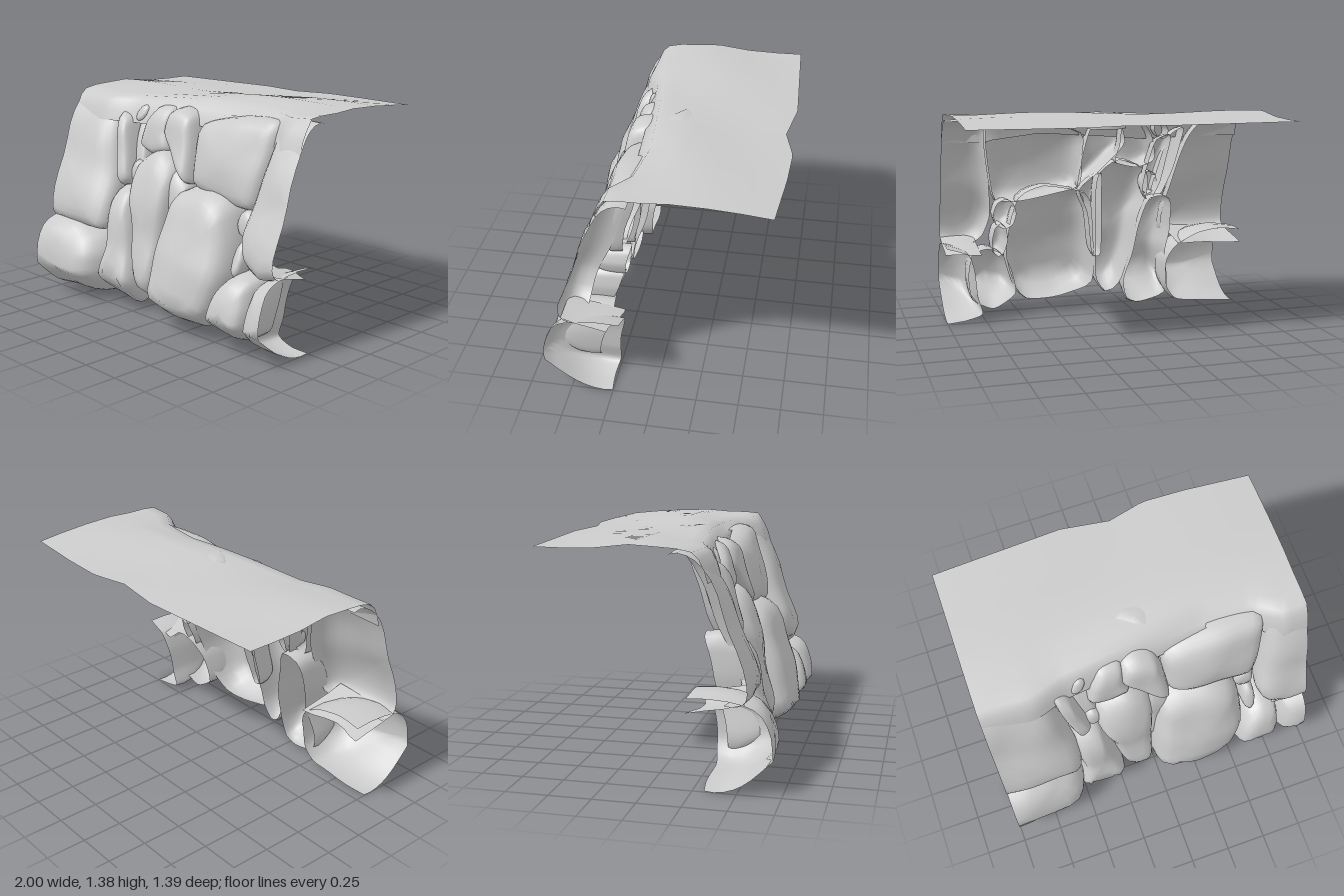
import * as THREE from 'three';
import { mergeVertices } from 'three/addons/utils/BufferGeometryUtils.js';

const stone = new THREE.MeshStandardMaterial({ color: 0xcccccc, side: THREE.DoubleSide });

// Smooth mesh from rows of equally many points.
// wrap: each row closes on itself; pole: the first row is a single point
function skin(name, rows, wrap, pole) {
  const n = rows[0].length, index = [];
  for (let r = 0; r + 1 < rows.length; r++) {
    for (let i = 0; i < (wrap ? n : n - 1); i++) {
      const j = (i + 1) % n;
      const a = r * n + i, b = r * n + j, c = (r + 1) * n + i, d = (r + 1) * n + j;
      if (r > 0 || !pole) index.push(a, d, b);
      index.push(a, c, d);
    }
  }
  let g = new THREE.BufferGeometry();
  g.setAttribute('position', new THREE.Float32BufferAttribute(rows.flat(2), 3));
  g.setIndex(index);
  g = mergeVertices(g, 1e-5);
  g.computeVertexNormals();
  const mesh = new THREE.Mesh(g, stone);
  mesh.name = name;
  return mesh;
}

// Shell steps from the middle of a stone to its open back: [outline scale, share of depth]
const steps = [[0, 0], [0.25, 0], [0.48, 0.015], [0.68, 0.05], [0.82, 0.13],
  [0.91, 0.26], [0.97, 0.45], [1, 0.72], [0.98, 1]];

// Stone shell open at the back. The front leans from zBottom to zTop and is cut under near the foot.
// With edgeX set, the outline starts and ends on that side of the block and stays open there.
function rock(name, outline, zBottom, zTop, depth, edgeX) {
  const open = edgeX !== undefined;
  const pts = outline.map(([x, y]) => new THREE.Vector3(x, y, 0));
  const area = pts.reduce((s, p, i) => {
    const q = pts[(i + 1) % pts.length];
    return s + p.x * q.y - q.x * p.y;
  }, 0);
  if (area < 0) pts.reverse();
  const curve = new THREE.CatmullRomCurve3(pts, !open, 'catmullrom', 0.3);
  const edge = curve.getSpacedPoints(40);
  if (!open) edge.pop();
  const ys = pts.map((p) => p.y), xs = pts.map((p) => p.x);
  const y0 = Math.min(...ys), y1 = Math.max(...ys);
  const cy = (y0 + y1) / 2;
  const cx = open ? edgeX : (Math.min(...xs) + Math.max(...xs)) / 2;
  const rows = steps.map(([s, d]) => edge.map((p) => {
    const x = cx + (p.x - cx) * s, y = cy + (p.y - cy) * s;
    const rough = 0.014 * Math.sin(9 * x + 5 * y + cx * 20) * Math.cos(11 * y - 6 * x);
    const front = zBottom + (zTop - zBottom) * (y - y0) / (y1 - y0) + rough;
    const undercut = 1.1 * Math.max(0, 0.21 - y) * (1 - d);
    return [x, y, front - d * depth - undercut];
  }));
  return skin(name, rows, !open, true);
}

// Thin ragged shelf running back from the foot of a wall
function ledge(name, xa, xb) {
  const rows = [[0.54, 0.525], [0.44, 0.495], [0.33, 0.475], [0.24, 0.455]].map(([z, y], r) =>
    Array.from({ length: 7 }, (_, i) => {
      const x = xa + (xb - xa) * i / 6;
      return [x, y + 0.01 * Math.sin(9 * x), z + 0.012 * r * Math.sin(14 * x)];
    }));
  return skin(name, rows, false, false);
}

// Linear interpolation through [x, value] pairs
function lerpTable(table, x) {
  for (let i = 1; i < table.length; i++) {
    const [xa, a] = table[i - 1], [xb, b] = table[i];
    if (x <= xb) return a + (b - a) * (x - xa) / (xb - xa);
  }
  return table[table.length - 1][1];
}

// Ground sheet on top of the cliff, bending down over the front edge
function topSheet() {
  const profile = [[0.345, 1.17], [0.325, 1.24], [0.295, 1.3], [0.255, 1.345], [0.17, 1.358],
    [0.05, 1.363], [-0.1, 1.374], [-0.3, 1.36], [-0.5, 1.348], [-0.67, 1.34]];
  const recess = [[-1, -0.01], [-0.68, 0], [-0.5, -0.06], [0, -0.11], [0.4, -0.14], [0.7, -0.1], [0.85, 0], [1, 0]];
  const backEdge = [[-1, 0.02], [-0.2, -0.015], [0.1, 0.03], [0.33, -0.025], [0.6, -0.015], [1, 0.02]];
  const rows = profile.map(([z, y], r) => {
    const row = [];
    for (let i = 0; i <= 40; i++) {
      const x = -1 + i / 20;
      const front = THREE.MathUtils.clamp((z + 0.1) / 0.3, 0, 1);
      const back = THREE.MathUtils.clamp((-z - 0.3) / 0.37, 0, 1);
      const wave = r > 2 ? (1 - back) * (0.009 * Math.sin(5 * x + 6 * z) + 0.012 * x) : 0;
      const lift = r < 2 ? Math.max(0, -0.08 - lerpTable(recess, x)) : 0;
      row.push([x, y + wave + lift, z + front * lerpTable(recess, x) + back * lerpTable(backEdge, x)]);
    }
    return row;
  });
  return skin('topGround', rows, false, false);
}

// Simple oval outline for pebbles
function oval(cx, cy, rx, ry, tilt = 0) {
  return Array.from({ length: 8 }, (_, i) => {
    const a = i * Math.PI / 4;
    return [cx + rx * Math.cos(a) + tilt * Math.sin(a), cy + ry * Math.sin(a)];
  });
}

export function createModel() {
  const cliff = new THREE.Group();
  cliff.name = 'rockCliff';
  cliff.add(topSheet());

  // Outer walls and corner stones, cut open at the sides
  cliff.add(rock('leftWall', [[1, 0.5], [0.86, 0.47], [0.74, 0.54], [0.69, 0.68], [0.71, 0.9], [0.74, 1.1],
    [0.76, 1.28], [0.88, 1.33], [1, 1.33]], 0.61, 0.295, 0.17, 1));
  cliff.add(rock('rightWall', [[-1, 0.5], [-0.75, 0.49], [-0.5, 0.5], [-0.49, 0.72], [-0.53, 0.95],
    [-0.6, 1.2], [-0.7, 1.32], [-1, 1.33]], 0.62, 0.295, 0.18, -1));
  cliff.add(ledge('leftLedge', 0.78, 1), ledge('rightLedge', -1, -0.55));
  cliff.add(rock('leftCornerStone', [[1, 0.01], [0.88, 0.02], [0.77, 0.06], [0.8, 0.18], [0.82, 0.35],
    [0.86, 0.47], [1, 0.52]], 0.68, 0.62, 0.42, 1));
  cliff.add(rock('rightCornerStone', [[-1, 0.01], [-0.75, 0.03], [-0.57, 0.05], [-0.49, 0.15], [-0.48, 0.34],
    [-0.54, 0.45], [-0.68, 0.53], [-0.85, 0.555], [-1, 0.54]], 0.73, 0.64, 0.42, -1));

  // Large lower stones
  cliff.add(rock('rightPillar', [[-0.5, 0.76], [-0.43, 0.8], [-0.34, 0.78], [-0.28, 0.58], [-0.25, 0.4],
    [-0.21, 0.2], [-0.24, 0.06], [-0.33, 0.03], [-0.5, 0.08], [-0.53, 0.18], [-0.49, 0.4], [-0.51, 0.55]],
    0.64, 0.46, 0.26));
  cliff.add(rock('middlePillar', [[-0.33, 0.96], [-0.22, 1.03], [-0.12, 1.05], [0, 0.97], [0.02, 0.85],
    [0, 0.5], [-0.02, 0.22], [-0.1, 0.11], [-0.19, 0.19], [-0.25, 0.4], [-0.29, 0.65], [-0.34, 0.8]],
    0.6, 0.42, 0.22));
  cliff.add(rock('pillarWedge', [[-0.02, 0.96], [0.06, 0.93], [0.13, 0.85], [0.07, 0.7], [0.02, 0.4],
    [-0.04, 0.4], [-0.03, 0.7]], 0.47, 0.37, 0.16));
  cliff.add(rock('centreBoulder', [[0.05, 0.79], [0.12, 0.85], [0.37, 0.9], [0.53, 0.83], [0.59, 0.64],
    [0.6, 0.42], [0.53, 0.19], [0.44, 0.09], [0.22, 0.09], [0, 0.17], [-0.01, 0.35], [0.01, 0.55]],
    0.72, 0.48, 0.28));
  cliff.add(rock('leftFootStone', [[0.53, 0.16], [0.57, 0.35], [0.64, 0.45], [0.73, 0.49], [0.83, 0.46],
    [0.85, 0.3], [0.82, 0.13], [0.68, 0.06]], 0.7, 0.6, 0.32));

  // Upper stones under the edge of the ground
  cliff.add(rock('upperBoulder', [[0.12, 1.06], [0.12, 1.22], [0.24, 1.27], [0.48, 1.31], [0.74, 1.31],
    [0.76, 1.2], [0.73, 1.0], [0.69, 0.81], [0.55, 0.79], [0.3, 0.83], [0.13, 0.88]], 0.43, 0.31, 0.19));
  cliff.add(rock('upperPillar', [[-0.16, 1.16], [-0.13, 1.28], [-0.04, 1.31], [0.07, 1.27], [0.12, 1.08],
    [0.14, 0.86], [0.05, 0.92], [-0.07, 1.05]], 0.41, 0.31, 0.18));
  cliff.add(rock('upperBlock', [[-0.37, 1.04], [-0.34, 1.2], [-0.26, 1.3], [-0.13, 1.3], [-0.12, 1.15],
    [-0.1, 1.03], [-0.25, 0.99]], 0.37, 0.27, 0.17));
  cliff.add(rock('upperSliver', [[-0.57, 1.25], [-0.48, 1.2], [-0.42, 1.02], [-0.38, 0.82], [-0.45, 0.78],
    [-0.51, 0.93], [-0.54, 1.05]], 0.46, 0.32, 0.16));
  cliff.add(rock('backSliver', [[-0.46, 1.2], [-0.36, 1.18], [-0.33, 1.05], [-0.3, 0.84], [-0.36, 0.75],
    [-0.42, 0.9]], 0.38, 0.25, 0.13));

  // Pebbles wedged into the gaps
  const pebbles = [
    [oval(-0.405, 1.235, 0.05, 0.06, 0.02), 0.3, 0.26, 0.12],
    [oval(-0.355, 0.88, 0.055, 0.08), 0.39, 0.35, 0.12],
    [oval(0.625, 0.72, 0.075, 0.1), 0.42, 0.38, 0.19],
    [oval(0.65, 0.54, 0.05, 0.12), 0.53, 0.44, 0.22],
  ];
  for (const [outline, zb, zt, depth] of pebbles) cliff.add(rock('pebble', outline, zb, zt, depth));

  // Stone sunk into the ground, its open side hanging below
  const sunk = skin('sunkenStone', [[0, 1.372], [0.6, 1.37], [0.95, 1.355], [1, 1.32], [0.97, 1.27]].map(([s, y]) =>
    [[-0.11, -0.03], [-0.04, -0.09], [0.12, -0.08], [0.14, 0], [0.1, 0.11], [0, 0.06]].map(([x, z]) =>
      [0.03 + (x - 0.03) * s, y, z * s]).reverse()), true, true);
  cliff.add(sunk);
  return cliff;
}
